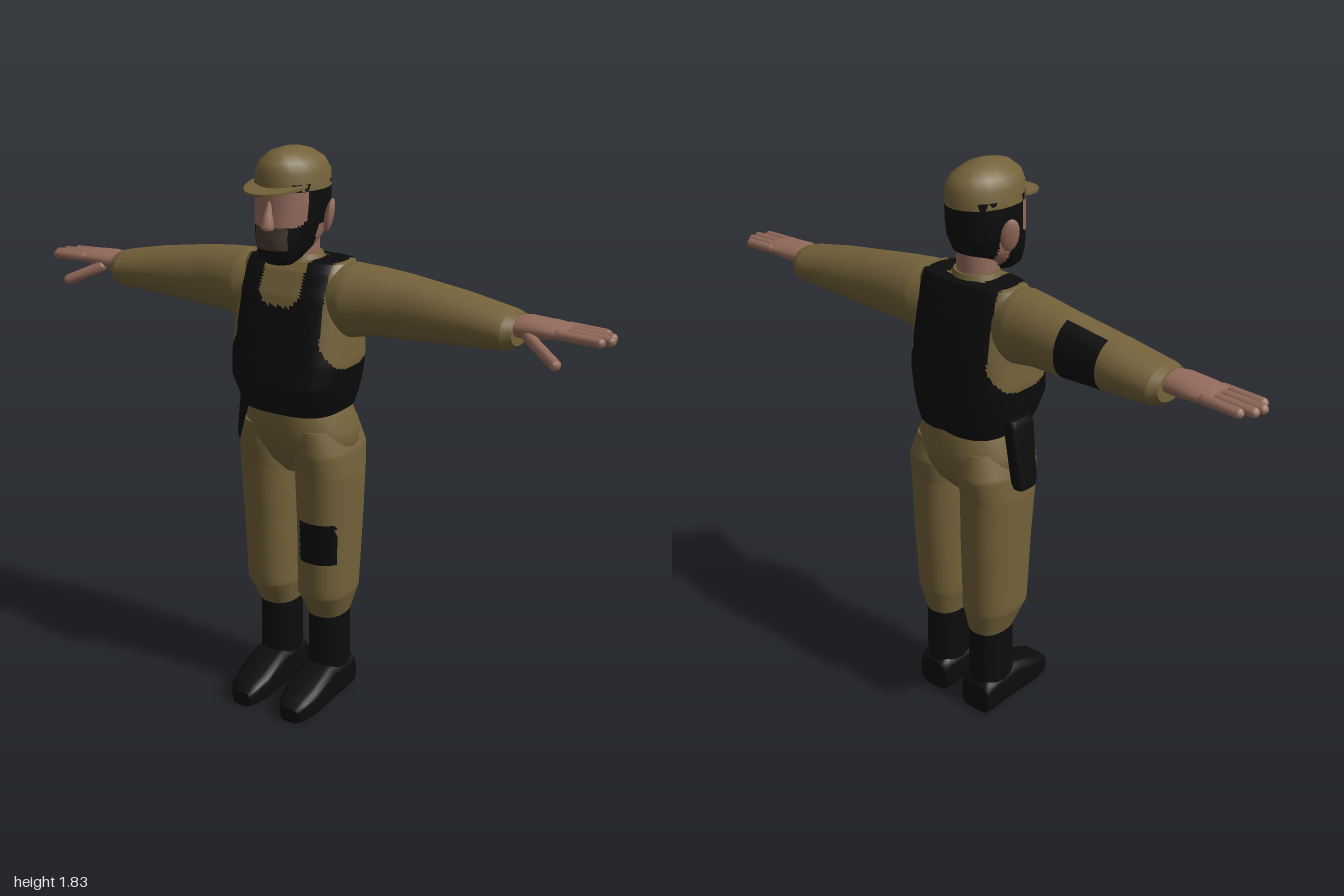
import * as THREE from 'three';

const olive = new THREE.MeshStandardMaterial({ color: 0x74623a, name: 'oliveCloth' });
const black = new THREE.MeshStandardMaterial({ color: 0x0c0c0c, name: 'blackGear' });
const skin = new THREE.MeshStandardMaterial({ color: 0x946b5c, name: 'skin' });
const stubble = new THREE.MeshStandardMaterial({ color: 0x4a3a32, name: 'stubble' });

// Sweeps rounded cross-sections [t, centreA, centreB, radiusA, radiusB] along an axis.
// power 1 gives ellipses, smaller values give boxier outlines.
function loft(axis, sections, { n = 20, sub = 1, power = 1 } = {}) {
  const place = {
    x: (t, a, b) => [t, a, b],
    y: (t, a, b) => [a, t, b],
    z: (t, a, b) => [a, b, t],
  }[axis];
  const rows = [];
  sections.forEach((s, i) => {
    const next = sections[i + 1];
    if (!next) rows.push(s);
    else for (let k = 0; k < sub; k++) rows.push(s.map((v, j) => v + (next[j] - v) * k / sub));
  });
  const pos = [], idx = [];
  const tri = (a, b, c) => (axis === 'y' ? idx.push(a, c, b) : idx.push(a, b, c));
  const bend = v => Math.sign(v) * Math.abs(v) ** power;
  const ring = ([t, ca, cb, ra, rb]) => {
    for (let j = 0; j < n; j++) {
      const w = j / n * Math.PI * 2;
      pos.push(...place(t, ca + ra * bend(Math.cos(w)), cb + rb * bend(Math.sin(w))));
    }
  };
  rows.forEach(ring);
  for (let i = 0; i < rows.length - 1; i++) {
    for (let j = 0; j < n; j++) {
      const a = i * n + j, b = i * n + (j + 1) % n;
      tri(a, b, b + n);
      tri(a, b + n, a + n);
    }
  }
  // End caps with their own corners, so the rims stay sharp
  [rows[0], rows[rows.length - 1]].forEach((s, end) => {
    const base = pos.length / 3;
    ring(s);
    pos.push(...place(s[0], s[1], s[2]));
    for (let j = 0; j < n; j++) {
      const a = base + j, b = base + (j + 1) % n;
      if (end) tri(a, b, base + n); else tri(b, a, base + n);
    }
  });
  const geo = new THREE.BufferGeometry();
  geo.setAttribute('position', new THREE.Float32BufferAttribute(pos, 3));
  geo.setIndex(idx);
  geo.computeVertexNormals();
  return geo;
}

// Mirrors a geometry across x = 0, keeping faces outward
function mirrored(source) {
  const geo = source.clone().scale(-1, 1, 1);
  const idx = geo.index.array;
  for (let i = 0; i < idx.length; i += 3) [idx[i], idx[i + 1]] = [idx[i + 1], idx[i]];
  geo.computeVertexNormals();
  return geo;
}

// Sorts faces into material groups; rule(x, y, z) returns a material number
function paint(geo, count, rule) {
  const p = geo.attributes.position, idx = geo.index.array;
  const sorted = Array.from({ length: count }, () => []);
  for (let i = 0; i < idx.length; i += 3) {
    const f = [idx[i], idx[i + 1], idx[i + 2]];
    const mid = get => f.reduce((sum, v) => sum + get(v), 0) / 3;
    sorted[rule(mid(v => p.getX(v)), mid(v => p.getY(v)), mid(v => p.getZ(v)))].push(...f);
  }
  geo.setIndex(sorted.flat());
  let start = 0;
  sorted.forEach((list, m) => { geo.addGroup(start, list.length, m); start += list.length; });
  return geo;
}

// Rounded finger between two points
function digit(from, to, radius) {
  const a = new THREE.Vector3(...from), b = new THREE.Vector3(...to);
  const dir = b.clone().sub(a);
  const geo = new THREE.CapsuleGeometry(radius, dir.length() - radius, 3, 8);
  geo.applyQuaternion(new THREE.Quaternion().setFromUnitVectors(new THREE.Vector3(0, 1, 0), dir.normalize()));
  return geo.translate(...a.add(b).multiplyScalar(0.5).toArray());
}

export function createModel() {
  const model = new THREE.Group();
  const add = (name, geo, mat) => {
    const mesh = new THREE.Mesh(geo, mat);
    mesh.name = name;
    model.add(mesh);
    return mesh;
  };
  const pair = (name, geo, mat) => {
    add('left' + name, geo, mat);
    add('right' + name, mirrored(geo), mat);
  };

  // Boots
  pair('BootShaft', loft('y', [[0.04, 0.095, -0.077, 0.062, 0.077], [0.1, 0.095, -0.075, 0.06, 0.075],
    [0.33, 0.094, -0.075, 0.058, 0.075]], { power: 0.75 }), black);
  pair('BootFoot', loft('z', [[-0.156, 0.095, 0.05, 0.058, 0.05], [-0.14, 0.095, 0.062, 0.064, 0.062],
    [0, 0.095, 0.066, 0.065, 0.066], [0.1, 0.095, 0.046, 0.064, 0.046],
    [0.15, 0.095, 0.037, 0.053, 0.037], [0.176, 0.095, 0.025, 0.034, 0.025]], { power: 0.5 }), black);

  // Trousers, with a patch on the left knee
  const leg = () => loft('y', [[0.31, 0.094, -0.075, 0.062, 0.078], [0.4, 0.098, -0.06, 0.088, 0.112],
    [0.65, 0.102, -0.06, 0.093, 0.122], [0.82, 0.104, -0.055, 0.097, 0.13],
    [0.9, 0.1, -0.055, 0.094, 0.143], [0.98, 0.09, -0.045, 0.075, 0.135]], { n: 48, sub: 10, power: 0.85 });
  add('leftLeg', paint(leg(), 2, (x, y, z) =>
    (y > 0.53 && y < 0.67 && x > 0.055 && x < 0.175 && z > -0.02 ? 1 : 0)), [olive, black]);
  add('rightLeg', mirrored(leg()), olive);
  add('hips', loft('y', [[0.81, 0, -0.055, 0.06, 0.07], [0.86, 0, -0.055, 0.15, 0.115],
    [0.91, 0, -0.053, 0.19, 0.14], [0.97, 0, -0.047, 0.18, 0.152],
    [1.04, 0, -0.04, 0.153, 0.145]], { n: 32, power: 0.85 }), olive);

  // Shirt with the vest over it
  const torso = loft('y', [[1.03, 0, -0.04, 0.157, 0.145], [1.07, 0, -0.033, 0.172, 0.158],
    [1.13, 0, -0.024, 0.188, 0.17], [1.2, 0, -0.03, 0.197, 0.162], [1.3, 0, -0.035, 0.193, 0.146],
    [1.4, 0, -0.036, 0.188, 0.122], [1.47, 0, -0.042, 0.182, 0.096], [1.497, 0, -0.048, 0.17, 0.08],
    [1.502, 0, -0.048, 0.02, 0.01]], { n: 120, sub: 8, power: 0.65 });
  add('torsoAndVest', paint(torso, 2, (x, y, z) => {
    const w = Math.abs(x);
    if (y < 1.18) return 1;
    const edge = 0.147 + 0.05 * THREE.MathUtils.clamp((1.26 - y) / 0.08, 0, 1);
    if (w > edge) return 0;
    const neckline = 1.37 + Math.max(0, w - 0.045) * 1.2;
    return z > -0.09 && w < 0.072 && y > neckline ? 0 : 1;
  }), [olive, black]);
  add('collar', loft('y', [[1.47, 0, -0.035, 0.09, 0.08], [1.515, 0, -0.035, 0.072, 0.066]]), olive);

  // Sleeves, with a patch behind the right elbow
  const sleeve = loft('x', [[0.1, 1.38, -0.035, 0.11, 0.09], [0.19, 1.385, -0.042, 0.114, 0.108],
    [0.27, 1.39, -0.05, 0.103, 0.1], [0.36, 1.386, -0.057, 0.097, 0.093], [0.55, 1.377, -0.06, 0.078, 0.089],
    [0.69, 1.367, -0.06, 0.06, 0.086], [0.72, 1.372, -0.06, 0.046, 0.068]], { n: 36, sub: 8 });
  add('leftSleeve', sleeve, olive);
  add('rightSleeve', paint(mirrored(sleeve), 2, (x, y, z) =>
    (x > -0.52 && x < -0.38 && z < -0.09 ? 1 : 0)), [olive, black]);

  // Hands
  pair('Palm', loft('x', [[0.7, 1.383, -0.055, 0.03, 0.05], [0.75, 1.385, -0.055, 0.034, 0.057],
    [0.82, 1.387, -0.06, 0.026, 0.062], [0.87, 1.387, -0.06, 0.017, 0.058]], { n: 16 }), skin);
  [[-0.107, 0.96], [-0.077, 0.987], [-0.046, 0.994], [-0.015, 0.975]].forEach(([z, tip], i) =>
    pair('Finger' + (i + 1), digit([0.84, 1.388, z], [tip, 1.383, z], 0.0155), skin));
  pair('Thumb', digit([0.76, 1.372, -0.01], [0.875, 1.318, 0.05], 0.018), skin);

  // Neck and head: face, hair, sideburns and beard
  add('neck', loft('y', [[1.46, 0, -0.035, 0.062, 0.06], [1.6, 0, -0.035, 0.06, 0.06]]), skin);
  const head = loft('y', [[1.497, 0, 0.075, 0.04, 0.035], [1.515, 0, 0.072, 0.062, 0.058],
    [1.55, 0, 0.04, 0.08, 0.098], [1.575, 0, 0.02, 0.088, 0.12], [1.62, 0, 0.008, 0.097, 0.129],
    [1.67, 0, 0.004, 0.101, 0.129], [1.735, 0, 0.002, 0.101, 0.128]], { n: 72, sub: 6, power: 0.9 });
  add('head', paint(head, 3, (x, y, z) => {
    const w = Math.abs(x);
    if (z < -0.035 && y > 1.555) return 1;
    if (y > 1.715 || (z < 0.065 && y > 1.61)) return 1;
    if (z > 0.08 && w < 0.055 && y > 1.545 && y < 1.612) return 2;
    return z > 0.015 && y < 1.612 + Math.max(0, 0.1 - z) * 0.5 ? 1 : 0;
  }), [skin, black, stubble]);
  add('nose', loft('y', [[1.605, 0, 0.135, 0.018, 0.022], [1.618, 0, 0.138, 0.021, 0.03],
    [1.65, 0, 0.13, 0.014, 0.022], [1.69, 0, 0.122, 0.009, 0.01]], { n: 10 }), skin);
  const ear = new THREE.SphereGeometry(1, 12, 8).scale(0.014, 0.052, 0.03);
  pair('Ear', ear.rotateZ(-0.2).rotateY(0.45).translate(0.113, 1.635, -0.018), skin);

  // Cap and brim
  add('cap', loft('y', [[1.715, 0, 0.002, 0.105, 0.134], [1.765, 0, 0.002, 0.102, 0.133],
    [1.795, 0, 0.006, 0.087, 0.117], [1.82, 0, 0.012, 0.055, 0.078],
    [1.83, 0, 0.012, 0.022, 0.036]], { n: 20 }), olive);
  const brimShape = new THREE.Shape();
  brimShape.absellipse(0, 0, 0.095, 0.13, 0, Math.PI, false);
  const brim = new THREE.ExtrudeGeometry(brimShape, { depth: 0.008, bevelEnabled: false, curveSegments: 12 });
  add('capBrim', brim.rotateX(Math.PI / 2 + 0.13).translate(0, 1.735, 0.072), olive);

  // Holster on the right hip
  const holster = loft('y', [[-0.115, 0, 0, 0.022, 0.035], [-0.09, 0, 0, 0.025, 0.043],
    [0.09, 0, 0, 0.025, 0.052], [0.115, 0, 0, 0.018, 0.045]], { n: 16, power: 0.5 });
  add('holster', holster.rotateZ(-0.13).translate(-0.197, 0.978, -0.055), black);

  return model;
}
